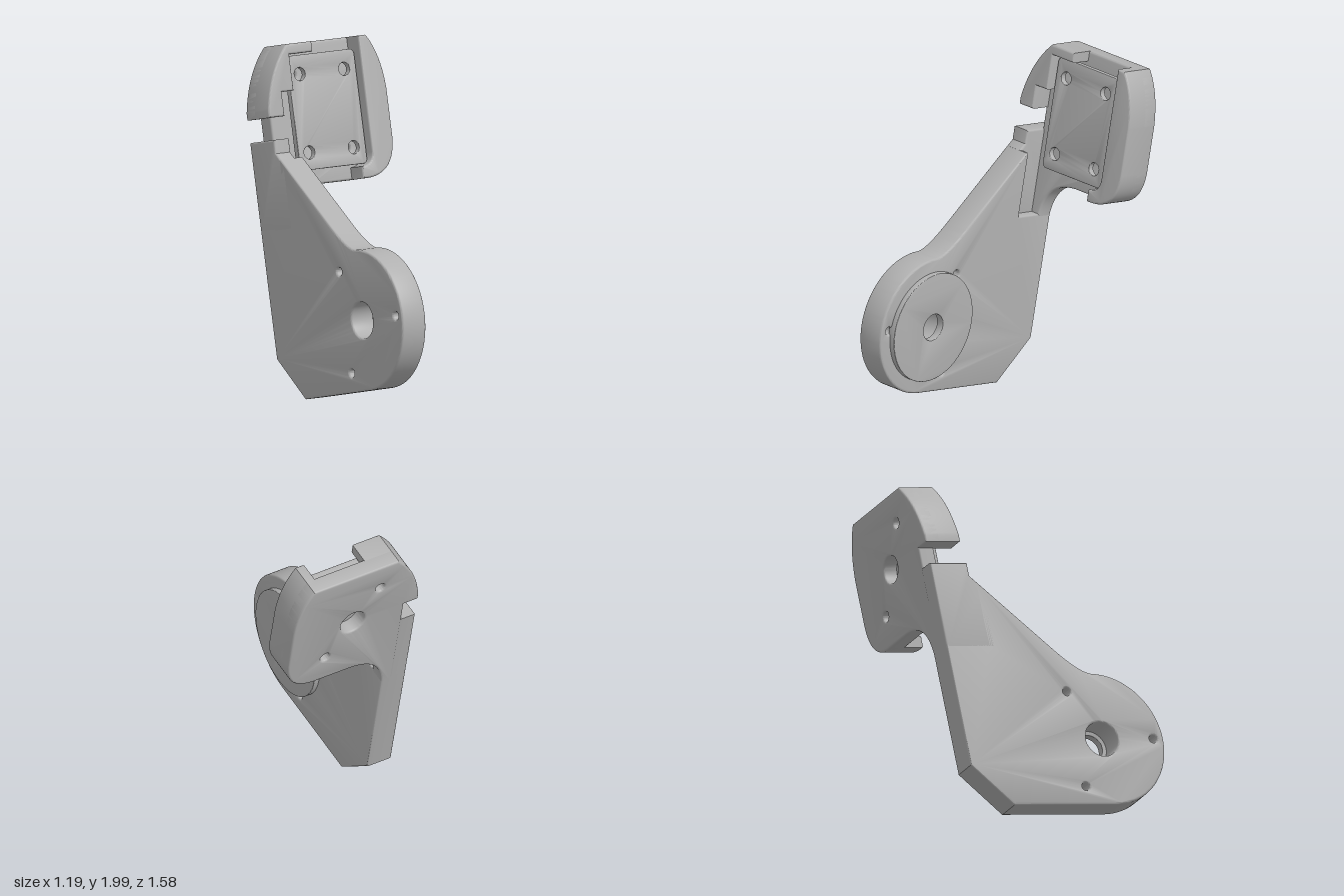
import * as THREE from 'three';
import { toCreasedNormals } from 'three/addons/utils/BufferGeometryUtils.js';

export function createModel() {
  const model = new THREE.Group();
  model.name = 'angledBracket';
  const grey = new THREE.MeshStandardMaterial({ color: 0xb0b0b0 });
  grey.name = 'plain grey';

  // Everything is built square, then leaned back and turned as one piece.
  const body = new THREE.Group();
  body.name = 'bracketBody';
  body.rotation.set(THREE.MathUtils.degToRad(-12.3), THREE.MathUtils.degToRad(-13.4), 0, 'YXZ');
  model.add(body);

  // Slab between two depths, with small rounded edges that stay inside the outline.
  function slab(name, shape, from, to, bevel = 0.012) {
    const geo = new THREE.ExtrudeGeometry(shape, {
      depth: to - from - 2 * bevel, curveSegments: 28,
      bevelEnabled: bevel > 0, bevelThickness: bevel, bevelSize: bevel,
      bevelOffset: -bevel, bevelSegments: 3,
    });
    geo.translate(0, 0, from + bevel);
    const mesh = new THREE.Mesh(toCreasedNormals(geo, 0.6), grey);
    mesh.name = name;
    body.add(mesh);
    return mesh;
  }

  // Slab lying in the side plane: shape x runs to the front, depth runs sideways.
  function sideSlab(name, shape, from, to, bevel) {
    const mesh = slab(name, shape, -to, -from, bevel);
    mesh.rotation.y = -Math.PI / 2;
    return mesh;
  }

  function hole(shape, x, y, r) {
    const path = new THREE.Path();
    path.absarc(x, y, r, 0, Math.PI * 2, true);
    shape.holes.push(path);
  }

  function polygon(points) {
    return new THREE.Shape(points.map(([x, y]) => new THREE.Vector2(x, y)));
  }

  function disc(x, y, r, bore) {
    const s = new THREE.Shape();
    s.absarc(x, y, r, 0, Math.PI * 2, false);
    if (bore) hole(s, x, y, bore);
    return s;
  }

  // Arm: round eye at the front, chamfered heel, 45 degree upper edge
  const eye = { x: 0.581, y: 0.434, r: 0.407 };
  const arm = new THREE.Shape();
  arm.moveTo(-0.323, 0.275);
  arm.lineTo(-0.088, 0.026);
  arm.lineTo(eye.x, eye.y - eye.r);
  arm.absarc(eye.x, eye.y, eye.r, -Math.PI / 2, 1.52, false);
  arm.quadraticCurveTo(0.53, 0.845, 0.38, 0.993);
  arm.lineTo(-0.04, 1.413);
  arm.lineTo(-0.055, 1.413);
  arm.lineTo(-0.055, 1.03);
  arm.lineTo(-0.323, 1.03);
  arm.closePath();
  hole(arm, eye.x, eye.y, 0.105);
  for (let i = 0; i < 3; i++) {
    const a = i * Math.PI * 2 / 3;
    hole(arm, eye.x + 0.34 * Math.cos(a), eye.y + 0.34 * Math.sin(a), 0.024);
  }
  sideSlab('arm', arm, -0.41, -0.245);

  // Thin web and tip at the upper end of the arm
  sideSlab('armTip', polygon([
    [-0.323, 1.0], [0, 1.0], [0, 1.37], [-0.077, 1.45], [-0.077, 1.53], [-0.323, 1.53],
  ]), -0.41, -0.3);

  // Raised boss around the eye
  sideSlab('eyeBoss', disc(eye.x, eye.y, 0.327, 0.08), -0.26, -0.212, 0.003);

  // Outer edge shared by the back plate and the right lip, from bottom to top
  function rightEdge(s) {
    s.lineTo(0.24, 1.25);
    s.quadraticCurveTo(0.43, 1.26, 0.44, 1.47);
    s.lineTo(0.44, 1.75);
    s.quadraticCurveTo(0.43, 1.95, 0.34, 2.07);
  }

  // Upper corner shared by the back plate and the hook
  function leftEdge(s) {
    s.lineTo(-0.23, 2.07);
    s.quadraticCurveTo(-0.37, 1.93, -0.41, 1.7);
    s.lineTo(-0.41, 1.66);
  }

  // Back plate of the head, with a fillet down to the arm
  const plateCentre = [0.03, 1.665];
  const screws = [[-0.127, 1.89], [0.186, 1.435], [0.186, 1.89], [-0.127, 1.435]];
  const back = new THREE.Shape();
  back.moveTo(-0.315, 0.99);
  back.lineTo(-0.247, 0.99);
  back.quadraticCurveTo(-0.235, 1.24, 0.0, 1.25);
  rightEdge(back);
  leftEdge(back);
  back.lineTo(-0.315, 1.66);
  back.closePath();
  hole(back, ...plateCentre, 0.08);
  screws.slice(0, 2).forEach(([x, y]) => hole(back, x, y, 0.03));
  slab('headBackPlate', back, -0.323, -0.22);

  // Raised lip on the head's left side
  const lip = new THREE.Shape();
  lip.moveTo(0.2, 1.25);
  rightEdge(lip);
  lip.lineTo(0.285, 2.07);
  lip.lineTo(0.285, 1.4);
  lip.quadraticCurveTo(0.28, 1.325, 0.2, 1.32);
  lip.closePath();
  slab('headLip', lip, -0.31, -0.1);

  // Curved hook over the arm tip
  const hook = new THREE.Shape();
  hook.moveTo(-0.05, 2.07);
  leftEdge(hook);
  hook.lineTo(-0.3, 1.66);
  hook.lineTo(-0.3, 1.8);
  hook.lineTo(-0.215, 1.8);
  hook.lineTo(-0.215, 2.01);
  hook.lineTo(-0.05, 2.01);
  hook.closePath();
  slab('headHook', hook, -0.31, -0.09);

  // Spacer ring behind the screw plate
  slab('spacerRing', disc(...plateCentre, 0.19, 0.05), -0.235, -0.165, 0);

  // Screw plate with rounded corners and four holes
  const [l, r, b, t, c] = [-0.205, 0.268, 1.335, 2.0, 0.03];
  const plate = new THREE.Shape();
  plate.absarc(r - c, b + c, c, -Math.PI / 2, 0, false);
  plate.absarc(r - c, t - c, c, 0, Math.PI / 2, false);
  plate.absarc(l + c, t - c, c, Math.PI / 2, Math.PI, false);
  plate.absarc(l + c, b + c, c, Math.PI, Math.PI * 1.5, false);
  plate.closePath();
  screws.forEach(([x, y]) => hole(plate, x, y, 0.038));
  slab('screwPlate', plate, -0.178, -0.14, 0.003);

  return model;
}
